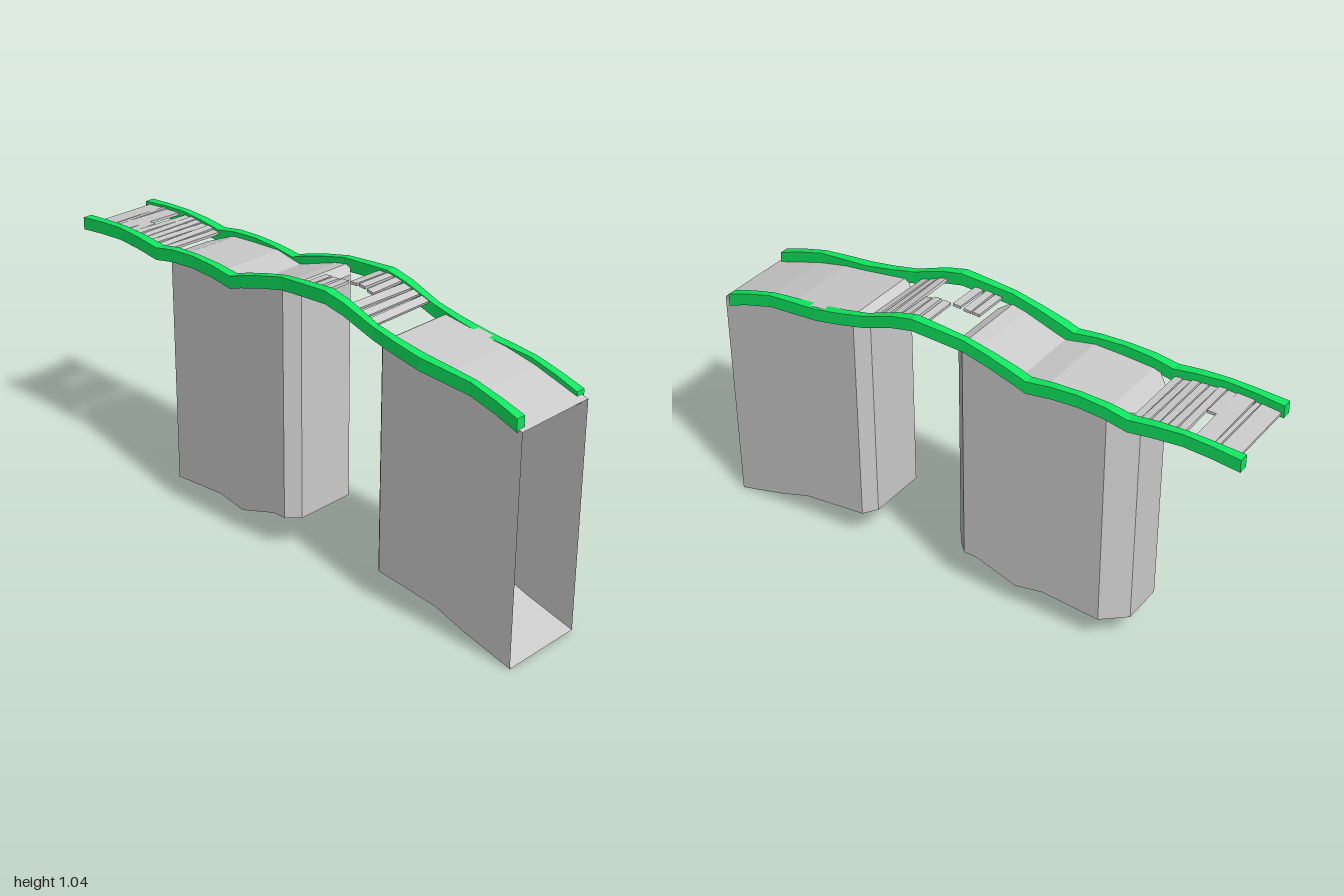
import * as THREE from 'three';

const stone = new THREE.MeshStandardMaterial({ color: 0xcccccc, flatShading: true, side: THREE.DoubleSide });
const wood = new THREE.MeshStandardMaterial({ color: 0xcccccc, flatShading: true });
const green = new THREE.MeshStandardMaterial({ color: 0x10e860, flatShading: true });

// Skin a row of rectangular sections [x, zBack, zFront, yBottom, yTop] running along x
function loft(sections, capStart = true, capEnd = true) {
  const rings = sections.map(([x, z0, z1, y0, y1]) => [
    [x, y0, z1], [x, y0, z0], [x, y1, z0], [x, y1, z1],
  ]);
  const pos = [];
  const quad = (a, b, c, d) => pos.push(...a, ...b, ...c, ...a, ...c, ...d);
  for (let i = 0; i < rings.length - 1; i++) {
    const a = rings[i], b = rings[i + 1];
    for (let j = 0; j < 4; j++) {
      const k = (j + 1) % 4;
      quad(a[j], a[k], b[k], b[j]);
    }
  }
  const s = rings[0], e = rings[rings.length - 1];
  if (capStart) quad(s[3], s[2], s[1], s[0]);
  if (capEnd) quad(e[0], e[1], e[2], e[3]);
  const g = new THREE.BufferGeometry();
  g.setAttribute('position', new THREE.Float32BufferAttribute(pos, 3));
  g.computeVertexNormals();
  return g;
}

function add(parent, name, geometry, material) {
  const mesh = new THREE.Mesh(geometry, material);
  mesh.name = name;
  parent.add(mesh);
  return mesh;
}

// Top line of the front rail: [x, y]
const railTop = [
  [-1, 0.975], [-0.9, 0.983], [-0.8, 0.987], [-0.7, 0.98], [-0.61, 0.968], [-0.53, 0.982],
  [-0.43, 0.987], [-0.33, 0.982], [-0.24, 0.97], [-0.19, 0.987], [-0.1, 1.012], [0, 1.035],
  [0.1, 1.042], [0.2, 1.048], [0.28, 1.03], [0.4, 0.987], [0.5, 0.965], [0.6, 0.948],
  [0.7, 0.94], [0.8, 0.931], [0.9, 0.905], [0.985, 0.877],
];

function railHeight(x) {
  const i = Math.max(1, railTop.findIndex(p => p[0] >= x));
  const [x0, y0] = railTop[i - 1], [x1, y1] = railTop[i];
  return y0 + (y1 - y0) * (x - x0) / (x1 - x0);
}

export function createModel() {
  const model = new THREE.Group();
  model.name = 'brokenBridge';

  // Piers: [x, half width, bottom, top]; narrow first and last rows make the chamfered corners
  const pier = (name, rows, openEnd) => add(model, name,
    loft(rows.map(([x, w, y0, y1]) => [x, -w, w, y0, y1]), true, !openEnd), stone);
  pier('middlePier', [
    [-0.62, 0.08, 0.095, 0.92], [-0.54, 0.157, 0.1, 0.945], [-0.32, 0.157, 0.115, 0.955],
    [-0.21, 0.157, 0.093, 0.935], [-0.05, 0.157, 0.145, 0.985], [0, 0.157, 0.145, 0.995],
    [0.043, 0.115, 0.145, 0.975],
  ], false);
  pier('endPier', [
    [0.4, 0.115, 0.13, 0.922], [0.44, 0.157, 0.122, 0.948], [0.69, 0.157, 0.095, 0.917],
    [0.81, 0.157, 0.055, 0.89], [1, 0.157, 0.005, 0.835],
  ], true);

  // Rails, slightly thicker at each joint
  const rail = (name, z, drop, shift) => {
    const sections = railTop.map(([x, y]) => {
      const w = 0.0155 + 0.0025 * Math.cos((x - 0.2) * Math.PI * 2 / 0.41);
      return [x + shift, z - w, z + w, y - drop - 0.045, y - drop];
    });
    add(model, name, loft(sections), green);
  };
  rail('frontRail', 0.148, 0, 0);
  rail('backRail', -0.151, 0.02, -0.01);

  // Deck planks: [x start, x end, z back, z front]
  const planks = new THREE.Group();
  planks.name = 'planks';
  model.add(planks);
  const B = -0.14, F = 0.135;
  const boards = [
    [-0.99, -0.922, B, F], [-0.918, -0.902, B, F], [-0.898, -0.835, B, F], [-0.835, -0.803, 0, F],
    [0.04, 0.068, 0, F], [0.074, 0.102, 0, F], [0.115, 0.145, 0, F],
    [0.152, 0.182, B, 0], [0.19, 0.217, B, 0], [0.225, 0.252, B, 0],
    [0.26, 0.293, B, F], [0.3, 0.328, B, F], [0.336, 0.368, B, F],
  ];
  for (let i = 0; i < 6; i++) boards.push([-0.8 + i * 0.031, -0.773 + i * 0.031, B, F]);
  boards.forEach(([x0, x1, z0, z1], i) => {
    const x = (x0 + x1) / 2;
    const slope = (railHeight(x + 0.03) - railHeight(x - 0.03)) / 0.06;
    const plank = add(planks, 'plank', new THREE.BoxGeometry(x1 - x0, 0.01, z1 - z0), wood);
    plank.position.set(x, railHeight(x) - 0.033, (z0 + z1) / 2);
    plank.rotation.set(0.02 * Math.sin(i * 2.3), 0, Math.atan(slope));
  });

  return model;
}
